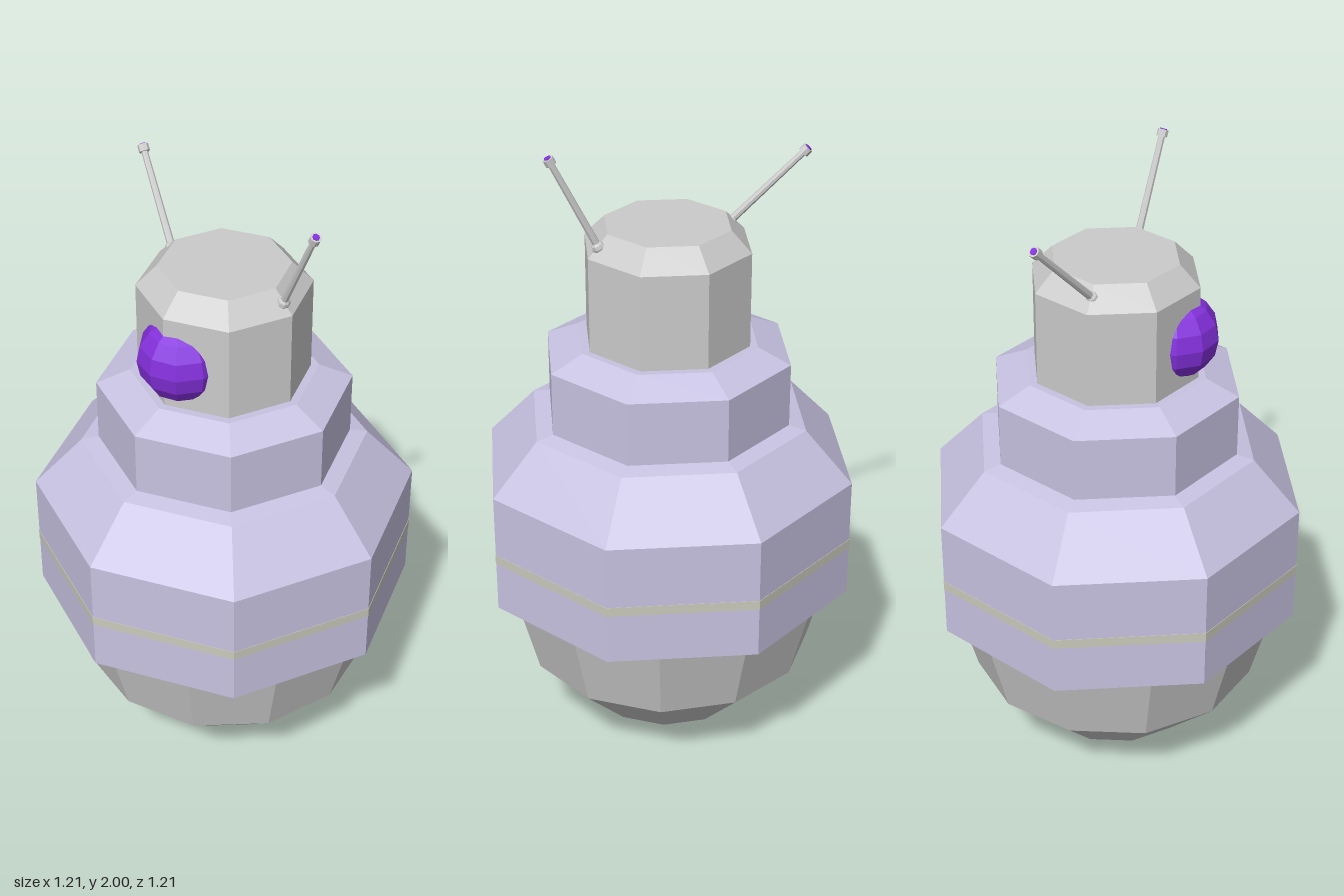
import * as THREE from 'three';

const material = (color) => new THREE.MeshStandardMaterial({ color, flatShading: true });
const grey = material(0xcccccc);
const lavender = material(0xc8c3e2);
const stripeColor = material(0xcbcabd);
const purple = material(0x8430dc);

function add(parent, name, geometry, mat) {
  const mesh = new THREE.Mesh(geometry, mat);
  mesh.name = name;
  parent.add(mesh);
  return mesh;
}

// Eight-sided shell from [radius, height] pairs, listed from bottom to top
function octagon(profile) {
  return new THREE.LatheGeometry(profile.map(([r, y]) => new THREE.Vector2(r, y)), 8);
}

// Thin rod with a joint at its base and a purple-capped collar at its tip
function createAntenna(name, base, tip) {
  const group = new THREE.Group();
  group.name = name;
  const from = new THREE.Vector3(...base);
  const axis = new THREE.Vector3(...tip).sub(from);
  const length = axis.length();
  group.position.copy(from);
  group.quaternion.setFromUnitVectors(new THREE.Vector3(0, 1, 0), axis.normalize());

  add(group, 'antennaJoint', new THREE.SphereGeometry(0.021, 8, 6), grey);
  add(group, 'antennaRod', new THREE.CylinderGeometry(0.01, 0.012, length, 8), grey)
    .position.y = length / 2;
  add(group, 'antennaCollar', new THREE.CylinderGeometry(0.017, 0.017, 0.022, 8), grey)
    .position.y = length - 0.011;
  add(group, 'antennaTip', new THREE.CylinderGeometry(0.011, 0.011, 0.006, 8), purple)
    .position.y = length;
  return group;
}

export function createModel() {
  const model = new THREE.Group();
  model.name = 'robot';

  // Rounded underside
  add(model, 'lowerBody', new THREE.SphereGeometry(0.538, 12, 6), grey).position.y = 0.54;

  // Wide shell with a closed base and sloping shoulders
  add(model, 'bodyShell', octagon([
    [0, 0.54], [0.602, 0.54], [0.602, 0.937], [0.45, 1.1], [0.39, 1.112], [0, 1.112],
  ]), lavender);

  // Painted band around the shell
  add(model, 'bodyStripe', octagon([
    [0.602, 0.704], [0.6035, 0.704], [0.6035, 0.735], [0.602, 0.735],
  ]), stripeColor);

  // Neck collar
  add(model, 'neckCollar', octagon([
    [0, 1.105], [0.395, 1.105], [0.395, 1.317], [0.29, 1.363], [0, 1.363],
  ]), lavender);

  // Head with a bevelled top
  add(model, 'head', octagon([
    [0, 1.355], [0.265, 1.355], [0.265, 1.668], [0.2, 1.735], [0, 1.735],
  ]), grey);

  // Eye, turned so that one ridge faces forward
  const eye = add(model, 'eye', new THREE.SphereGeometry(0.135, 10, 8), purple);
  eye.position.set(0, 1.5, 0.19);
  eye.rotation.y = Math.PI / 2;

  // Antennae lean by different amounts
  model.add(createAntenna('leftAntenna', [0.23, 1.7, 0], [0.37, 1.99, 0.033]));
  model.add(createAntenna('rightAntenna', [-0.215, 1.7, 0], [-0.425, 1.932, -0.098]));

  return model;
}
